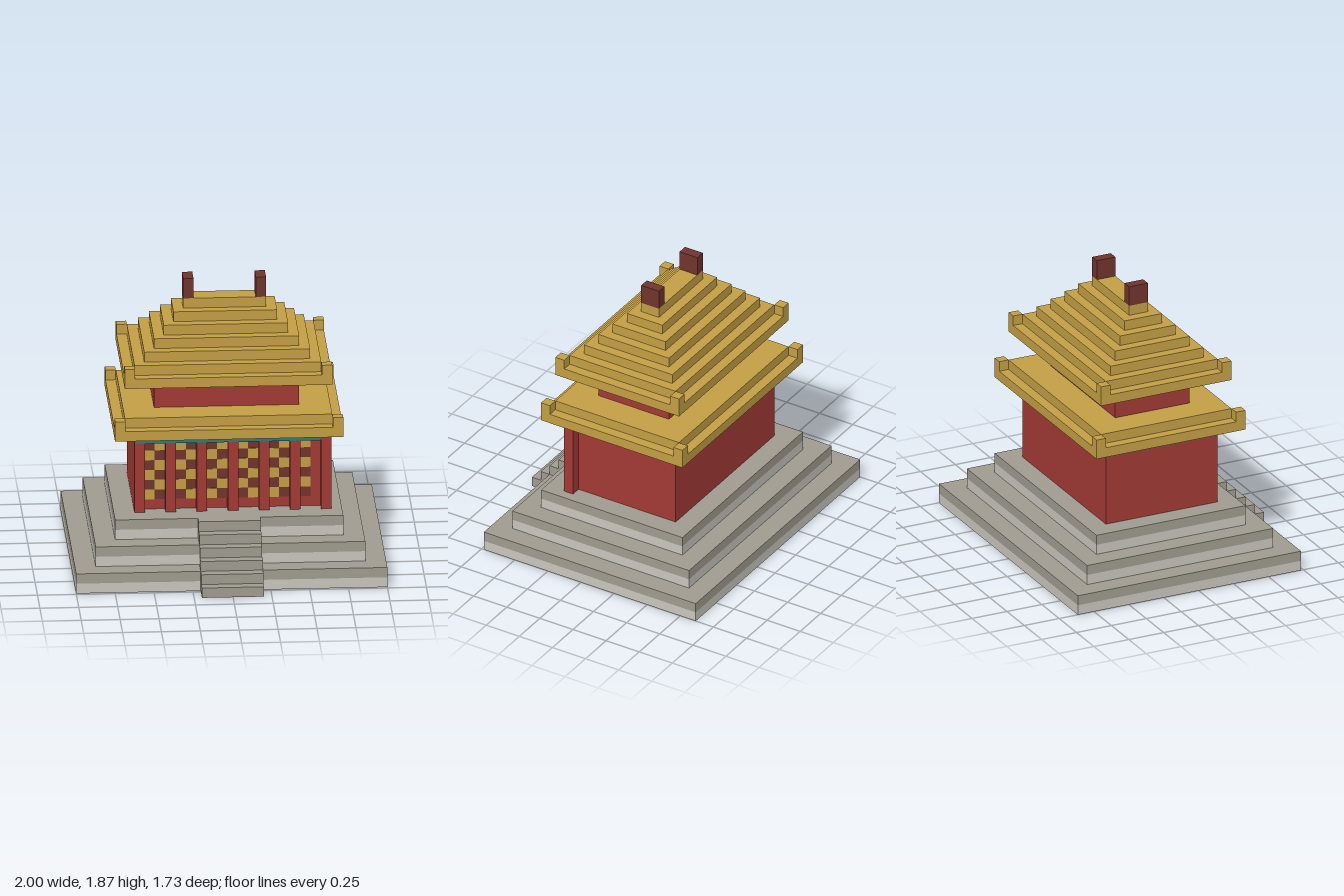
import * as THREE from 'three';

const U = 1 / 15; // one block

const mat = (name, color) => {
  const m = new THREE.MeshStandardMaterial({ color });
  m.name = name;
  return m;
};

export function createModel() {
  const model = new THREE.Group();
  model.name = 'pagoda';
  const paleStone = mat('paleStone', 0xc9c6be);
  const stone = mat('stone', 0xa09c90);
  const red = mat('redLacquer', 0xa33a35);
  const gold = mat('goldTile', 0xc49f45);
  const teal = mat('tealBeam', 0x2d7a7a);
  const brown = mat('darkWood', 0x71342d);

  // Box given by its limits in block units
  const box = (name, material, x0, x1, y0, y1, z0, z1, parent = model) => {
    const geo = new THREE.BoxGeometry((x1 - x0) * U, (y1 - y0) * U, (z1 - z0) * U);
    const mesh = new THREE.Mesh(geo, material);
    mesh.position.set((x0 + x1) * U / 2, (y0 + y1) * U / 2, (z0 + z1) * U / 2);
    mesh.name = name;
    parent.add(mesh);
    return mesh;
  };
  const group = (name) => {
    const g = new THREE.Group();
    g.name = name;
    model.add(g);
    return g;
  };

  // Three terrace tiers; the lowest course is notched around the stairs
  const terrace = group('terrace');
  const notch = [[-15, -13], [15, -13], [15, 11], [3, 11], [3, 7], [-3, 7], [-3, 11], [-15, 11]];
  const shape = new THREE.Shape(notch.map(([x, z]) => new THREE.Vector2(x * U, -z * U)));
  const courseGeo = new THREE.ExtrudeGeometry(shape, { depth: U, bevelEnabled: false });
  courseGeo.rotateX(-Math.PI / 2);
  const course = new THREE.Mesh(courseGeo, paleStone);
  course.name = 'lowestCourse';
  terrace.add(course);
  for (let i = 0; i < 3; i++) {
    const x = 15 - 2 * i, y = 2 * i, z0 = -13 + 2 * i, z1 = 11 - 2 * i;
    if (i > 0) box('tierLower', paleStone, -x, x, y, y + 1, z0, z1, terrace);
    box('tierUpper', stone, -x, x, y + 1, y + 2, z0, z1, terrace);
  }

  // Front stairs
  const stairs = group('stairs');
  for (let i = 0; i < 6; i++) box('step', stone, -3, 3, i, i + 1, 7, 13 - i, stairs);

  // Lower hall with beam and columns
  const hall = group('lowerHall');
  box('hallWalls', red, -9, 9, 6, 13, -7, 4, hall);
  box('hallBeam', teal, -9, 9, 13, 14, -7, 5, hall);
  for (let x = -9; x <= 9; x += 3) box('column', red, x, x + 1, 6, x === 9 ? 14 : 13, 4, 5, hall);

  // Chequered lattice behind the columns
  const lattice = group('lattice');
  box('latticeBacking', brown, -8, 8, 7, 13, 4, 4.06, lattice);
  for (let x = -8; x < 8; x++) {
    if ((x + 9) % 3 === 0) continue; // hidden by a column
    for (let y = 7; y < 13; y++) {
      if ((x + y) % 2 !== 0) box('latticePane', gold, x, x + 1, y, y + 1, 4, 4.1, lattice);
    }
  }

  // Eave: slab, inset layer and raised corner blocks, centred on z = -1
  const eave = (name, hx, hz, y) => {
    const g = group(name);
    box('eaveSlab', gold, -hx, hx, y, y + 1, -1 - hz, -1 + hz, g);
    box('eaveLayer', gold, 1 - hx, hx - 1, y + 1, y + 2, -hz, hz - 2, g);
    for (const x of [-hx, hx - 1]) {
      for (const z of [-1 - hz, hz - 2]) box('eaveCorner', gold, x, x + 1, y + 1, y + 2, z, z + 1, g);
    }
    return g;
  };
  eave('lowerRoof', 11, 8, 14);

  // Upper storey
  box('upperWalls', red, -7, 7, 16, 18, -5, 3);
  box('upperBeam', teal, -7, 7, 18, 19, -5, 3);

  // Stepped upper roof with ridge ornaments
  const roof = eave('upperRoof', 10, 7, 19);
  for (let i = 0; i < 5; i++) {
    box('roofStep', gold, i - 8, 8 - i, 21 + i, 22 + i, i - 6, 4 - i, roof);
  }
  for (const x of [-4, 3]) box('ridgeOrnament', brown, x, x + 1, 26, 28, -2, 0, roof);

  return model;
}
